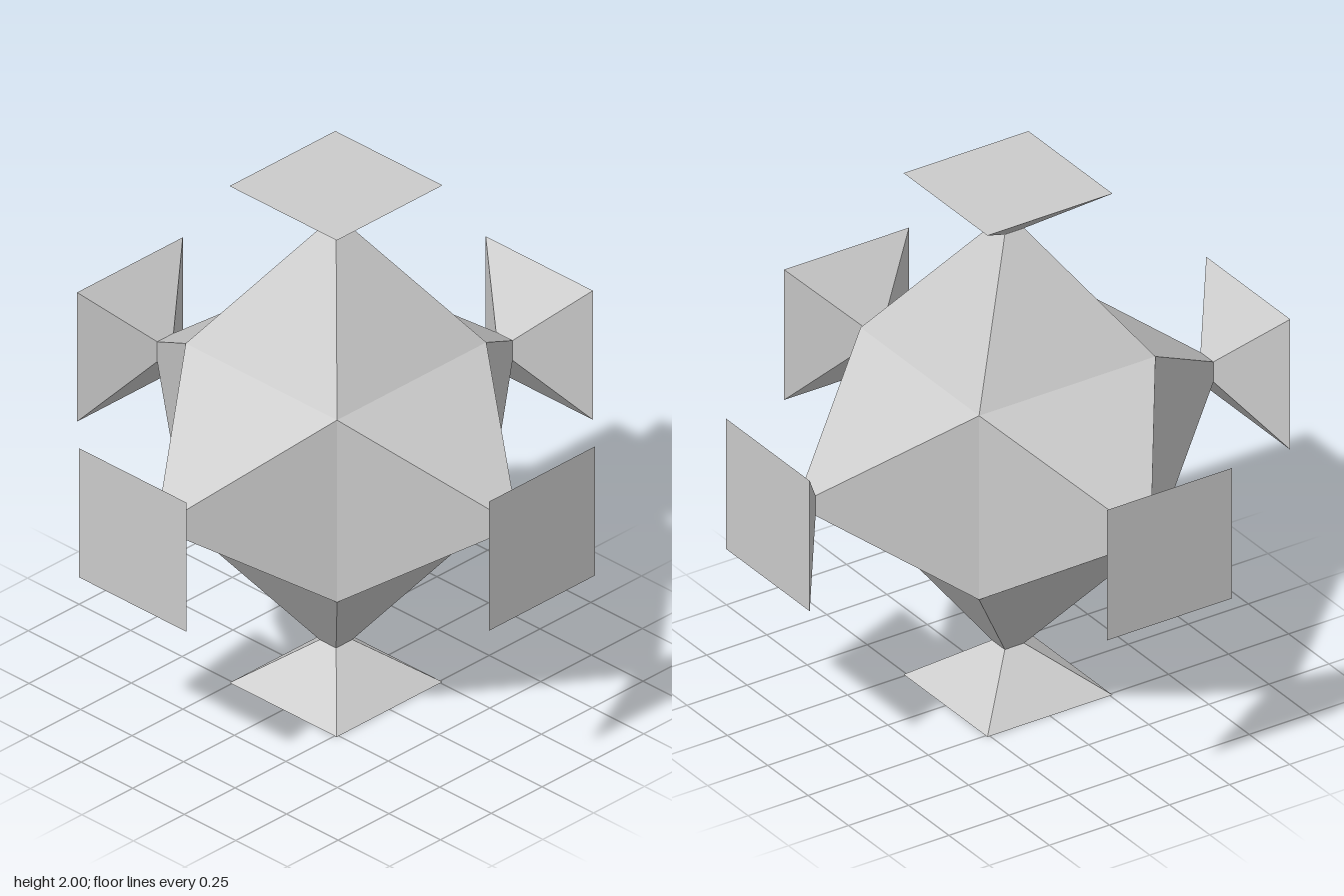
import * as THREE from 'three';

// Half-widths and distances from the centre
const CORE = 0.367, NECK = 0.04, PLATE = 0.26;
const NECK_AT = 0.828, TIP_AT = 1;

// Square frustum along y, from y0 (half-width h0) to y1 (half-width h1)
function frustum(h0, y0, h1, y1, open) {
  const g = new THREE.CylinderGeometry(h1 * Math.SQRT2, h0 * Math.SQRT2, y1 - y0, 4, 1, open);
  g.rotateY(Math.PI / 4);
  g.translate(0, (y0 + y1) / 2, 0);
  return g;
}

export function createModel() {
  const model = new THREE.Group();
  model.name = 'sixArmedStar';
  const material = new THREE.MeshStandardMaterial({ color: 0xcccccc, flatShading: true });

  // The six spike bases meet along the edges of a cube and close the body
  const spikeGeometry = frustum(CORE, CORE, NECK, NECK_AT, true);
  // Flared end with a flat square plate
  const flareGeometry = frustum(NECK, NECK_AT, PLATE, TIP_AT, false);

  const arms = {
    top: [0, 1, 0], bottom: [0, -1, 0],
    left: [1, 0, 0], right: [-1, 0, 0],
    front: [0, 0, 1], back: [0, 0, -1],
  };
  const up = new THREE.Vector3(0, 1, 0);
  for (const [side, direction] of Object.entries(arms)) {
    const arm = new THREE.Group();
    arm.name = side + 'Arm';
    const spike = new THREE.Mesh(spikeGeometry, material);
    spike.name = side + 'Spike';
    const flare = new THREE.Mesh(flareGeometry, material);
    flare.name = side + 'Flare';
    arm.add(spike, flare);
    arm.quaternion.setFromUnitVectors(up, new THREE.Vector3(...direction));
    arm.position.y = 1;
    model.add(arm);
  }
  return model;
}
